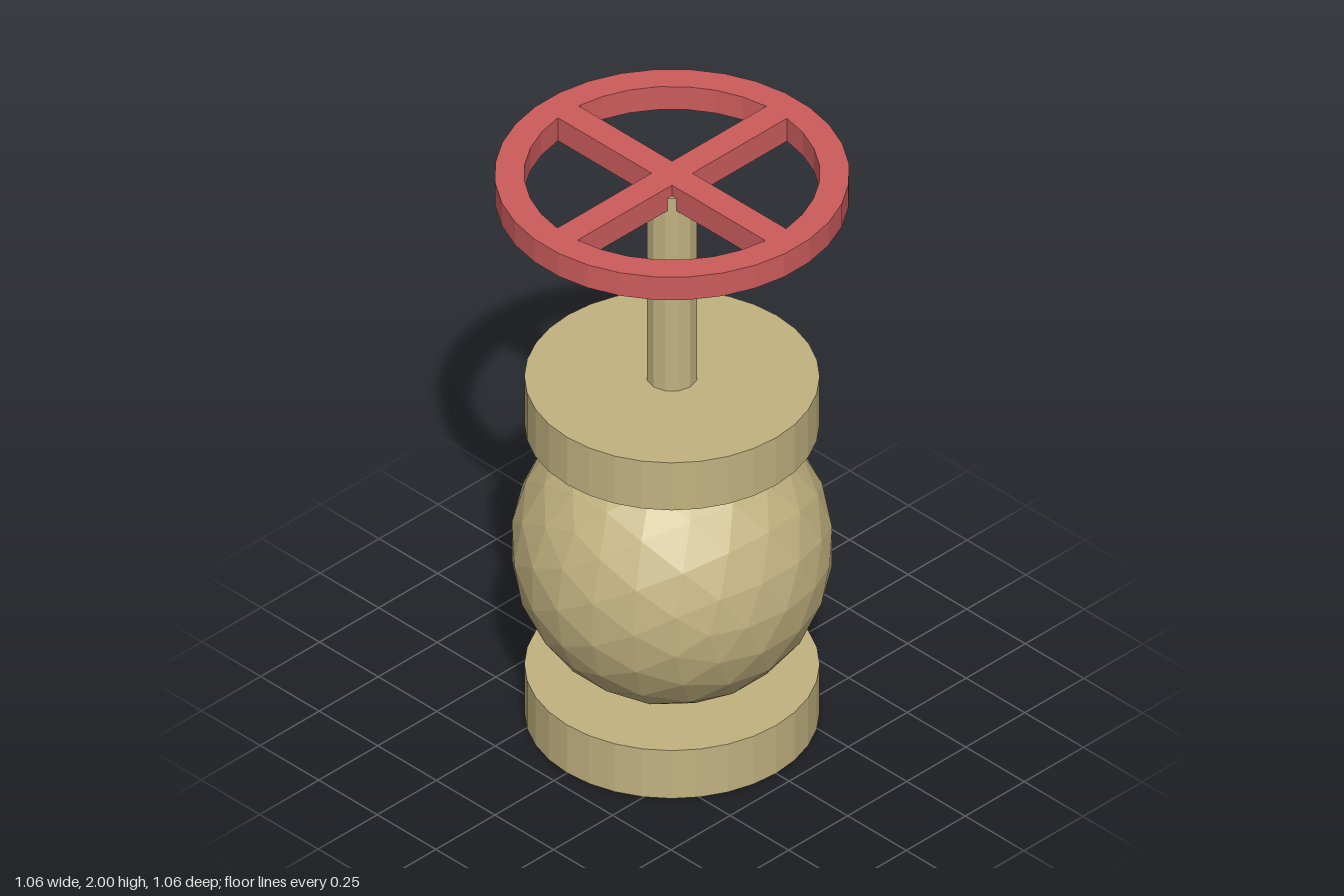
import * as THREE from 'three';

export function createModel() {
  const group = new THREE.Group();
  const sand = new THREE.MeshStandardMaterial({ name: 'sand', color: 0xc2b280, flatShading: true });
  const red = new THREE.MeshStandardMaterial({ name: 'wheelRed', color: 0xcd5c5c, flatShading: true });

  const add = (name, geometry, material, y = 0) => {
    const mesh = new THREE.Mesh(geometry, material);
    mesh.name = name;
    mesh.position.y = y;
    group.add(mesh);
  };
  // Upright cylinder between two heights
  const column = (name, radius, sides, y0, y1) =>
    add(name, new THREE.CylinderGeometry(radius, radius, y1 - y0, sides), sand, (y0 + y1) / 2);

  // Valve body, flanges and stem
  column('bottomFlange', 0.444, 32, 0, 0.178);
  add('valveBody', new THREE.IcosahedronGeometry(0.487, 3), sand, 0.624);
  column('topFlange', 0.444, 32, 1.07, 1.246);
  column('stem', 0.0775, 12, 1.24, 1.96);

  // Handwheel: 32-sided rim with four quarter openings that leave a cross of spokes
  const sides = 32, outer = 0.534, inner = 0.445;
  const point = (radius, i) => {
    const a = ((i + 0.5) / sides) * Math.PI * 2;
    return new THREE.Vector2(Math.cos(a) * radius, Math.sin(a) * radius);
  };
  const wheel = new THREE.Shape(Array.from({ length: sides }, (_, i) => point(outer, i)));
  const halfSpoke = point(inner, 0).y;
  const origin = new THREE.Vector2();
  for (let q = 0; q < 4; q++) {
    const corner = new THREE.Vector2(halfSpoke, halfSpoke).rotateAround(origin, (q * Math.PI) / 2);
    const arc = Array.from({ length: 8 }, (_, i) => point(inner, q * 8 + i));
    wheel.holes.push(new THREE.Path([corner, ...arc]));
  }
  const wheelGeometry = new THREE.ExtrudeGeometry(wheel, { depth: 0.085, bevelEnabled: false });
  wheelGeometry.rotateX(-Math.PI / 2);
  add('handwheel', wheelGeometry, red, 1.915);

  return group;
}
